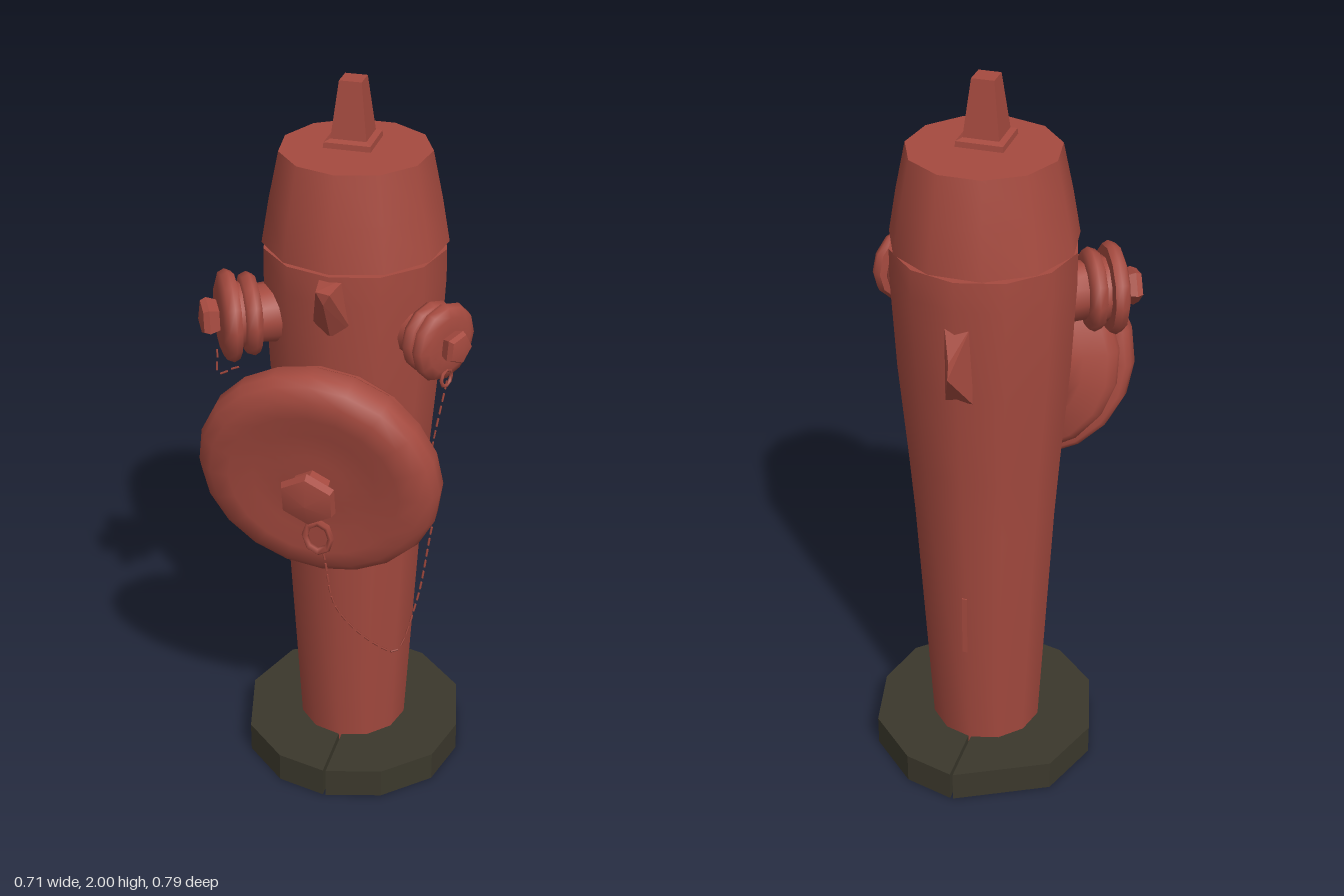
import * as THREE from 'three';
import { toCreasedNormals } from 'three/addons/utils/BufferGeometryUtils.js';
import { ConvexGeometry } from 'three/addons/geometries/ConvexGeometry.js';

const V3 = (x, y, z) => new THREE.Vector3(x, y, z);
const V2 = ([x, y]) => new THREE.Vector2(x, y);

export function createModel() {
  const red = new THREE.MeshStandardMaterial({ color: 0xa54a3f });
  red.name = 'weathered red paint';
  red.side = THREE.DoubleSide;
  const dark = new THREE.MeshStandardMaterial({ color: 0x3b382c });
  dark.name = 'dark base';

  const model = new THREE.Group();
  model.name = 'hydrant';
  const CX = 0.008, CZ = -0.082;

  const add = (name, geo, mat, parent = model, pos = [0, 0, 0]) => {
    const m = new THREE.Mesh(geo, mat);
    m.name = name;
    m.position.set(...pos);
    parent.add(m);
    return m;
  };
  const lathe = (pts, sides, crease = 0.8) =>
    toCreasedNormals(new THREE.LatheGeometry(pts.map(V2), sides), crease);
  // Group whose local +y points along the given axis
  const aimed = (name, pos, axis) => {
    const g = new THREE.Group();
    g.name = name;
    g.position.set(...pos);
    g.quaternion.setFromUnitVectors(V3(0, 1, 0), V3(...axis).normalize());
    model.add(g);
    return g;
  };

  // Tapered barrel
  add('barrel', lathe([[0, 0.03], [0.147, 0.03], [0.153, 0.09], [0.191, 0.8], [0.204, 0.98],
    [0.226, 1.25], [0.238, 1.5], [0.237, 1.578], [0, 1.578]], 12), red, model, [CX, 0, CZ]);

  // Bonnet and the operating nut above it
  add('bonnet', lathe([[0, 1.585], [0.238, 1.585], [0.218, 1.7], [0.192, 1.823], [0, 1.823]], 11),
    red, model, [CX, 0, CZ]);
  const nut = lathe([[0, 1.838], [0.085, 1.838], [0.083, 1.852], [0.064, 1.858], [0.04, 2], [0, 2]], 4, 0.5);
  nut.rotateY(Math.PI / 4);
  add('topNut', nut, red, model, [0.003, 0, -0.076]);

  // Base ring in two halves with a narrow slit
  const halves = {
    leftBaseHalf: [[0.014, -0.397], [0.15, -0.363], [0.283, -0.242], [0.323, -0.063], [0.285, 0.085],
      [0.165, 0.195], [0.014, 0.235], [0.014, 0.06], [0.1, 0.03], [0.148, -0.08], [0.1, -0.19], [0.014, -0.225]],
    rightBaseHalf: [[0.006, -0.397], [-0.237, -0.273], [-0.302, -0.099], [-0.25, 0.1], [-0.13, 0.205],
      [0.006, 0.235], [0.006, 0.06], [-0.09, 0.03], [-0.132, -0.08], [-0.09, -0.19], [0.006, -0.225]],
  };
  for (const [name, pts] of Object.entries(halves)) {
    const geo = new THREE.ExtrudeGeometry(new THREE.Shape(pts.map(([x, z]) => V2([x, -z]))),
      { depth: 0.088, bevelEnabled: false });
    geo.rotateX(-Math.PI / 2);
    add(name, geo, dark);
  }

  // Large front outlet, leaning slightly downwards
  const outlet = aimed('frontOutlet', [0.01, 1.08, 0.318], [0, -0.17, 0.985]);
  add('outletNeck', lathe([[0.16, -0.32], [0.175, -0.19], [0.2, -0.165], [0.265, -0.15], [0.285, -0.125],
    [0.285, -0.095]], 18, 1), red, outlet);
  add('outletCover', lathe([[0.27, -0.1], [0.3, -0.1], [0.312, -0.085], [0.313, -0.045], [0.3, -0.02], [0.27, 0],
    [0.22, 0.004], [0.16, -0.008], [0.08, -0.006], [0, -0.004]], 20, 1), red, outlet);
  add('outletNut', lathe([[0.05, -0.02], [0.055, 0.035], [0.078, 0.04], [0.072, 0.06], [0, 0.078]], 6, 0.5),
    red, outlet);

  // Side nozzles, angled forward
  const nozzleParts = (g, s) => {
    const sc = (pts) => pts.map(([r, y]) => [r * s, y * s]);
    add('nozzleBarrel', lathe(sc([[0.085, -0.2], [0.075, -0.07], [0.1, -0.065], [0.108, -0.05], [0.1, -0.03],
      [0.085, -0.025], [0.085, -0.01]]), 12, 1), red, g);
    add('nozzleCap', lathe(sc([[0.08, -0.015], [0.112, -0.012], [0.12, 0.004], [0.112, 0.022], [0.085, 0.032],
      [0.05, 0.034], [0, 0.034]]), 12, 1), red, g);
    add('nozzleNut', lathe(sc([[0.04, 0.025], [0.052, 0.06], [0.045, 0.075], [0, 0.084]]), 5, 0.5), red, g);
  };
  nozzleParts(aimed('rightNozzle', [-0.272, 1.405, 0.085], [-0.88, 0, 0.48]), 1);
  nozzleParts(aimed('leftNozzle', [0.272, 1.4, 0.07], [0.87, 0, 0.5]), 0.86);

  // Pointed lug below the bonnet at the front, and the spur on the back
  add('frontLug', new ConvexGeometry([V3(-0.025, 1.565, 0.12), V3(0.04, 1.565, 0.12), V3(-0.01, 1.565, 0.215),
    V3(0.025, 1.56, 0.215), V3(0.008, 1.53, 0.212), V3(-0.05, 1.4, 0.11), V3(0.065, 1.4, 0.11),
    V3(0.008, 1.42, 0.155)]), red);
  add('backSpur', new ConvexGeometry([V3(-0.03, 1.46, -0.3), V3(0.04, 1.46, -0.3), V3(0.01, 1.38, -0.36),
    V3(0.01, 1.34, -0.37), V3(-0.03, 1.24, -0.3), V3(0.04, 1.24, -0.3)]), red);
  add('backStrip', new THREE.BoxGeometry(0.014, 0.18, 0.03), red, model, [0.01, 0.51, -0.25]);

  // Chain rings on the cover, behind it and on the left nozzle
  const ring = (name, r, t, pos, ry, sy = 1) => {
    const m = add(name, new THREE.TorusGeometry(r, t, 5, 8), red, model, pos);
    m.rotation.y = ry;
    m.scale.y = sy;
  };
  ring('coverRing', 0.034, 0.009, [0.018, 0.925, 0.305], 0, 1.3);
  ring('chainLug', 0.046, 0.009, [0.25, 0.975, 0.1], 1.2);
  ring('nozzleRing', 0.022, 0.005, [0.29, 1.31, 0.09], 1.2);

  // Thin chains, drawn as spaced links
  const chains = {
    coverChain: [V3(0.03, 0.86, 0.292), V3(0.06, 0.7, 0.285), V3(0.15, 0.56, 0.23), V3(0.2, 0.52, 0.19),
      V3(0.24, 0.65, 0.14), V3(0.27, 0.87, 0.12)],
    leftNozzleChain: [V3(0.29, 1.29, 0.09), V3(0.27, 1.15, 0.12), V3(0.25, 1.03, 0.1)],
    rightNozzleChain: [V3(-0.3, 1.31, 0.12), V3(-0.295, 1.26, 0.13), V3(-0.25, 1.28, 0.13)],
  };
  for (const [name, pts] of Object.entries(chains)) {
    const curve = new THREE.CatmullRomCurve3(pts);
    const n = Math.round(curve.getLength() / 0.035);
    const g = new THREE.Group();
    g.name = name;
    model.add(g);
    const linkGeo = new THREE.CylinderGeometry(0.003, 0.003, 0.022, 4);
    for (let i = 0; i <= n; i++) {
      const link = add('chainLink', linkGeo, red, g, curve.getPointAt(i / n).toArray());
      link.quaternion.setFromUnitVectors(V3(0, 1, 0), curve.getTangentAt(i / n));
    }
  }
  return model;
}
